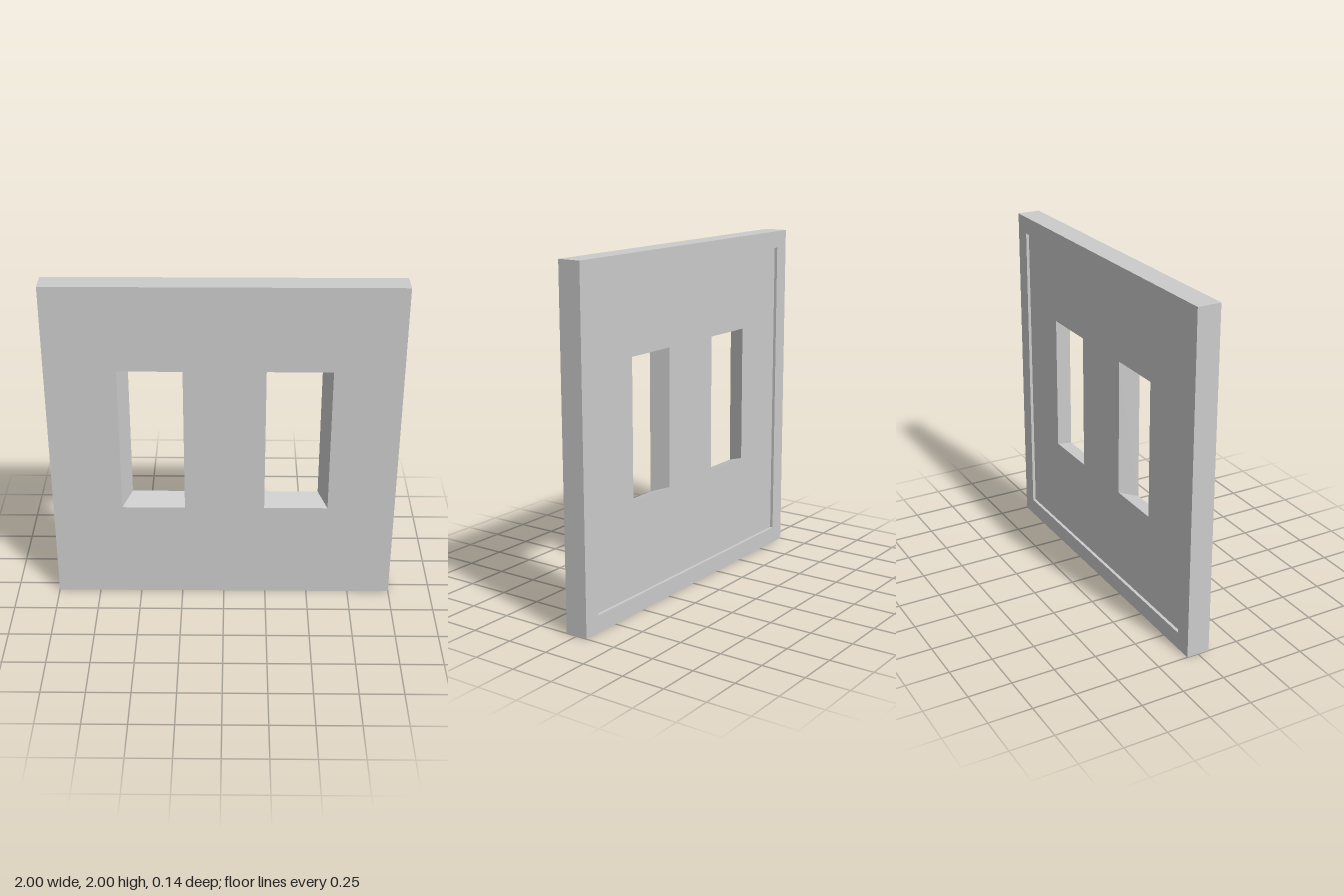
import * as THREE from 'three';

const FRONT = 0.068, BACK = -0.068, FLOOR = -0.05;

// Rectangle corners, anticlockwise as seen from the front
const rect = (x0, x1, y0, y1) => [[x0, y0], [x1, y0], [x1, y1], [x0, y1]].map(p => new THREE.Vector2(...p));

// Flat sheet with holes at depth z, facing forward or backward
function sheet(outline, holes, z, facesBack) {
  const shape = new THREE.Shape(outline);
  shape.holes = holes.map(h => new THREE.Path(h));
  const g = new THREE.ShapeGeometry(shape);
  if (facesBack) g.setIndex(Array.from(g.index.array).reverse());
  g.translate(0, 0, z);
  g.computeVertexNormals();
  return g;
}

// Walls joining a front loop to a back loop; inward turns them to face the opening
function walls(front, zFront, back, zBack, inward) {
  const pos = [];
  for (let i = 0; i < front.length; i++) {
    const j = (i + 1) % front.length;
    const a = [front[i].x, front[i].y, zFront], b = [back[i].x, back[i].y, zBack];
    const c = [back[j].x, back[j].y, zBack], d = [front[j].x, front[j].y, zFront];
    const corners = inward ? [a, d, c, a, c, b] : [a, b, c, a, c, d];
    corners.forEach(p => pos.push(...p));
  }
  const g = new THREE.BufferGeometry();
  g.setAttribute('position', new THREE.Float32BufferAttribute(pos, 3));
  g.computeVertexNormals();
  return g;
}

export function createModel() {
  const group = new THREE.Group();
  group.name = 'wallPlate';
  const material = new THREE.MeshStandardMaterial({ color: 0xcccccc, flatShading: true });
  const add = (name, geometry) => {
    const mesh = new THREE.Mesh(geometry, material);
    mesh.name = name;
    group.add(mesh);
  };

  const outer = rect(-1, 1, 0, 2);
  const recess = rect(-0.9, 0.9, 0.1, 1.9);
  // Tapered openings: wider at the front, inner sides leaning toward the centre
  const openings = [
    { name: 'rightOpening', front: rect(-0.595, -0.228, 0.602, 1.496), back: rect(-0.54, -0.205, 0.643, 1.446) },
    { name: 'leftOpening', front: rect(0.237, 0.608, 0.602, 1.496), back: rect(0.215, 0.555, 0.643, 1.446) },
  ];

  add('frontFace', sheet(outer, openings.map(o => o.front), FRONT, false));
  add('outerEdge', walls(outer, FRONT, outer, BACK, false));
  add('backRim', sheet(outer, [recess], BACK, true));
  add('recessWalls', walls(recess, FLOOR, recess, BACK, true));
  add('recessFloor', sheet(recess, openings.map(o => o.back), FLOOR, true));
  openings.forEach(o => add(o.name, walls(o.front, FRONT, o.back, FLOOR, true)));
  return group;
}
